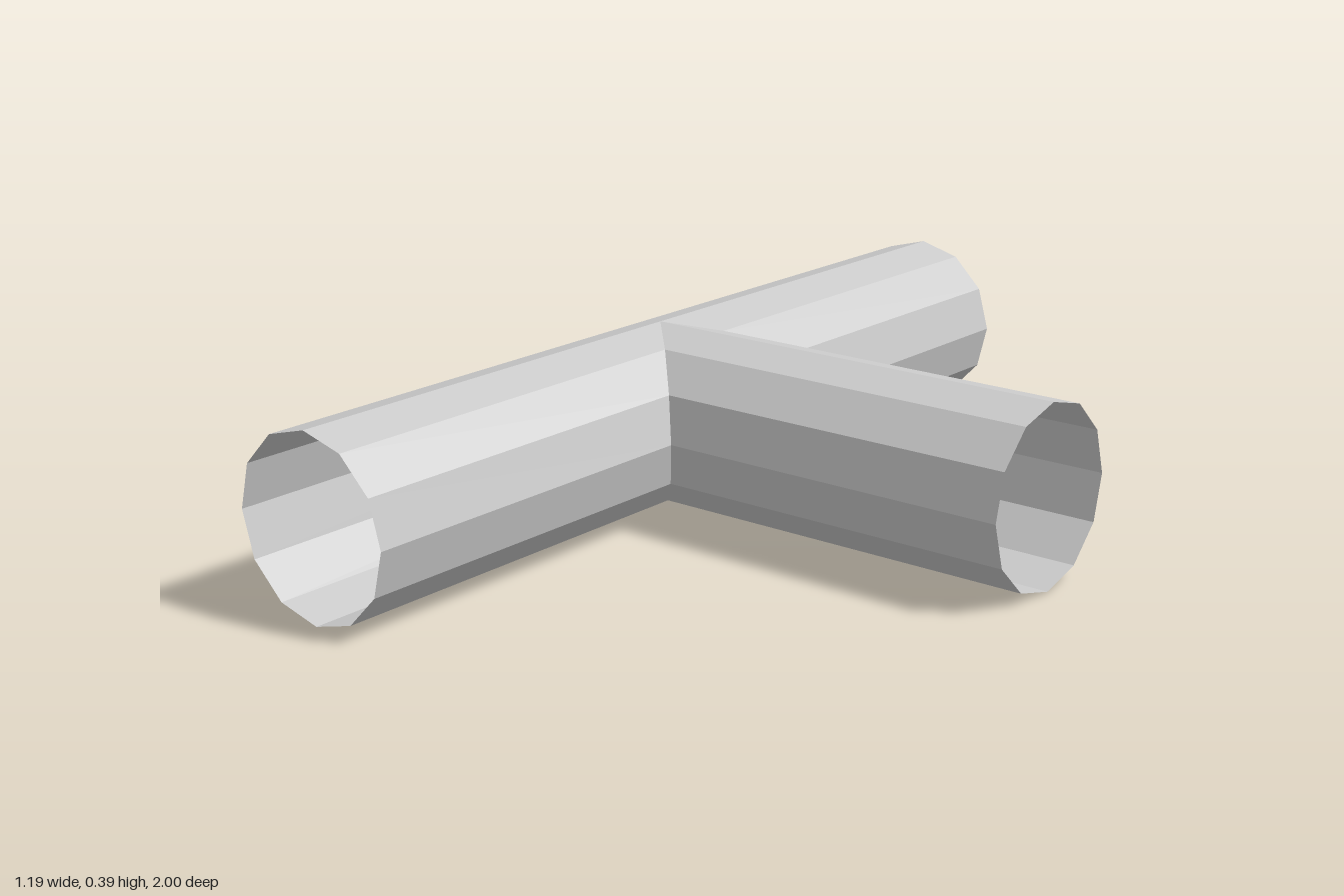
import * as THREE from 'three';

const R = 0.195;      // pipe radius
const LEN = 1;        // distance from the joint to each open end
const SIDES = 12;
const AXIS_X = -0.4025; // x of the main pipe's axis

// Flat-sided open shell: sides i0..i1 around local +z, each running from start(u) to end(u),
// where (u, v) is the point on the section circle.
function shell(i0, i1, start, end) {
  const pos = [];
  const corner = (i, rule) => {
    const a = (i / SIDES) * Math.PI * 2;
    const u = R * Math.cos(a), v = R * Math.sin(a);
    return [u, v, rule(u)];
  };
  for (let i = i0; i < i1; i++) {
    const a = corner(i, start), b = corner(i + 1, start);
    const c = corner(i + 1, end), d = corner(i, end);
    pos.push(...a, ...b, ...c, ...a, ...c, ...d);
  }
  const geo = new THREE.BufferGeometry();
  geo.setAttribute('position', new THREE.Float32BufferAttribute(pos, 3));
  geo.computeVertexNormals();
  return geo;
}

export function createModel() {
  const model = new THREE.Group();
  model.name = 'teePipe';
  const metal = new THREE.MeshStandardMaterial({ color: 0xcccccc, side: THREE.DoubleSide, flatShading: true });
  metal.name = 'light grey';

  const add = (name, geo, parent) => {
    const mesh = new THREE.Mesh(geo, metal);
    mesh.name = name;
    parent.add(mesh);
  };
  const near = () => -LEN, far = () => LEN;
  const q = SIDES / 4;

  // Main pipe along z: whole half away from the branch, mitred halves around the opening
  const main = new THREE.Group();
  main.name = 'mainPipe';
  add('mainOuterHalf', shell(q, 3 * q, near, far), main);
  add('mainFrontMitre', shell(-q, q, u => Math.abs(u), far), main);
  add('mainBackMitre', shell(-q, q, near, u => -Math.abs(u)), main);
  main.position.set(AXIS_X, R, 0);
  model.add(main);

  // Branch pipe along +x, its inner end mitred to meet the opening
  const branch = new THREE.Group();
  branch.name = 'branchPipe';
  add('branchShell', shell(0, SIDES, u => Math.abs(u), far), branch);
  branch.rotation.y = Math.PI / 2;
  branch.position.set(AXIS_X, R, 0);
  model.add(branch);

  return model;
}
